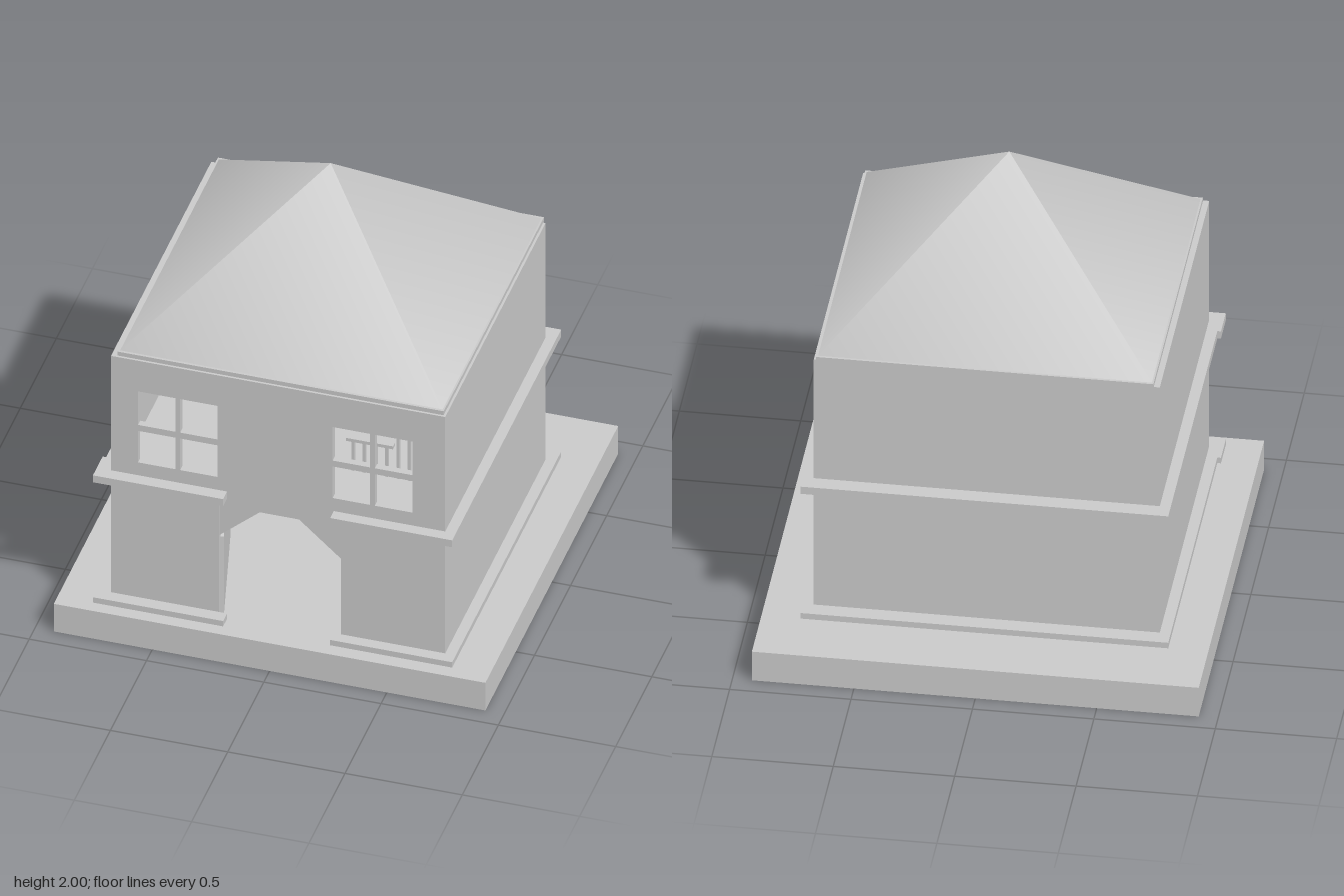
import * as THREE from 'three';

const material = new THREE.MeshStandardMaterial({ color: 0xcccccc });

// Box given by its two opposite corners
function block(parent, name, [x0, y0, z0], [x1, y1, z1]) {
  const mesh = new THREE.Mesh(new THREE.BoxGeometry(x1 - x0, y1 - y0, z1 - z0), material);
  mesh.position.set((x0 + x1) / 2, (y0 + y1) / 2, (z0 + z1) / 2);
  mesh.name = name;
  parent.add(mesh);
  return mesh;
}

// Flat plate with optional holes, in the xy plane
function plate(parent, name, points, depth, z, holes = []) {
  const toVectors = (list) => list.map(([x, y]) => new THREE.Vector2(x, y));
  const shape = new THREE.Shape(toVectors(points));
  for (const hole of holes) shape.holes.push(new THREE.Path(toVectors(hole)));
  const geometry = new THREE.ExtrudeGeometry(shape, { depth, bevelEnabled: false });
  const mesh = new THREE.Mesh(geometry, material);
  mesh.position.z = z;
  mesh.name = name;
  parent.add(mesh);
  return mesh;
}

const rect = (x0, y0, x1, y1) => [[x0, y0], [x0, y1], [x1, y1], [x1, y0]];

export function createModel() {
  const house = new THREE.Group();
  house.name = 'house';

  block(house, 'base', [-0.92, 0, -0.92], [0.92, 0.14, 0.92]);

  // Side and back walls, upper floor and ceiling
  block(house, 'rightWall', [-0.71, 0.14, -0.58], [-0.68, 1.365, 0.78]);
  block(house, 'leftWall', [0.685, 0.14, -0.58], [0.715, 1.365, 0.81]);
  block(house, 'backWall', [-0.68, 0.14, -0.58], [0.685, 1.365, -0.55]);
  block(house, 'upperFloor', [-0.68, 0.74, -0.55], [0.685, 0.77, 0.78]);

  // Front wall with a doorway and four panes in each window
  const panes = [];
  for (const x of [-0.595, 0.235]) {
    for (const dx of [0, 0.18]) {
      for (const [y0, y1] of [[0.85, 1.01], [1.04, 1.21]]) {
        panes.push(rect(x + dx, y0, x + dx + 0.16, y1));
      }
    }
  }
  plate(house, 'frontWall', [
    [-0.71, 0.14], [-0.25, 0.14], [-0.25, 0.71], [0.27, 0.71],
    [0.27, 0.14], [0.685, 0.14], [0.685, 1.365], [-0.71, 1.365],
  ], 0.03, 0.78, panes);

  // Slanted corners of the doorway
  plate(house, 'doorwayCorner', [[-0.25, 0.55], [-0.07, 0.71], [-0.25, 0.71]], 0.02, 0.78);
  plate(house, 'doorwayCorner', [[0.27, 0.54], [0.27, 0.71], [0.08, 0.71]], 0.02, 0.78);

  // Door leaf swung open into the room
  const door = new THREE.Group();
  door.name = 'door';
  plate(door, 'doorLeaf', [
    [0, 0], [0.52, 0], [0.52, 0.39], [0.34, 0.555], [0.18, 0.555], [0, 0.39],
  ], 0.015, 0);
  for (const z of [-0.015, 0.03]) {
    const knob = new THREE.Mesh(new THREE.SphereGeometry(0.02, 16, 12), material);
    knob.position.set(0.47, 0.26, z);
    knob.name = 'doorKnob';
    door.add(knob);
  }
  door.position.set(-0.25, 0.145, 0.79);
  door.rotation.y = 1.82;
  house.add(door);

  // Footing and storey ledges, left open in front of the doorway
  for (const [name, y0, y1] of [['footing', 0.14, 0.167], ['ledge', 0.75, 0.785]]) {
    const trim = new THREE.Group();
    trim.name = name;
    block(trim, name + 'Right', [-0.755, y0, -0.65], [-0.71, y1, 0.73]);
    block(trim, name + 'Left', [0.715, y0, -0.65], [0.76, y1, 0.81]);
    block(trim, name + 'Back', [-0.71, y0, -0.65], [0.715, y1, -0.58]);
    block(trim, name + 'FrontRight', [-0.77, y0, 0.81], [-0.215, y1, 0.865]);
    block(trim, name + 'CornerRight', [-0.77, y0, 0.73], [-0.71, y1, 0.81]);
    block(trim, name + 'FrontLeft', [0.24, y0, 0.81], [0.76, y1, 0.86]);
    house.add(trim);
  }

  // Railing behind the left window
  const railing = new THREE.Group();
  railing.name = 'railing';
  block(railing, 'railLow', [0.2, 0.92, 0.48], [0.4, 0.935, 0.51]);
  block(railing, 'railHigh', [0.4, 1.0, 0.48], [0.62, 1.015, 0.51]);
  for (let i = 0; i < 9; i++) {
    const x = 0.22 + i * 0.048;
    block(railing, 'baluster', [x, 0.77, 0.487], [x + 0.012, x < 0.39 ? 0.92 : 1.0, 0.503]);
  }
  house.add(railing);

  // Eaves and four-sided roof with soft shading
  block(house, 'eaves', [-0.685, 1.365, -0.59], [0.705, 1.385, 0.8]);
  const roofShape = new THREE.ConeGeometry(0.7 * Math.SQRT2, 0.62, 4).rotateY(Math.PI / 4);
  const roof = new THREE.Mesh(roofShape, material);
  roof.position.set(0.01, 1.69, 0.105);
  roof.scale.set(0.99, 1, 0.985);
  roof.name = 'roof';
  house.add(roof);

  return house;
}
